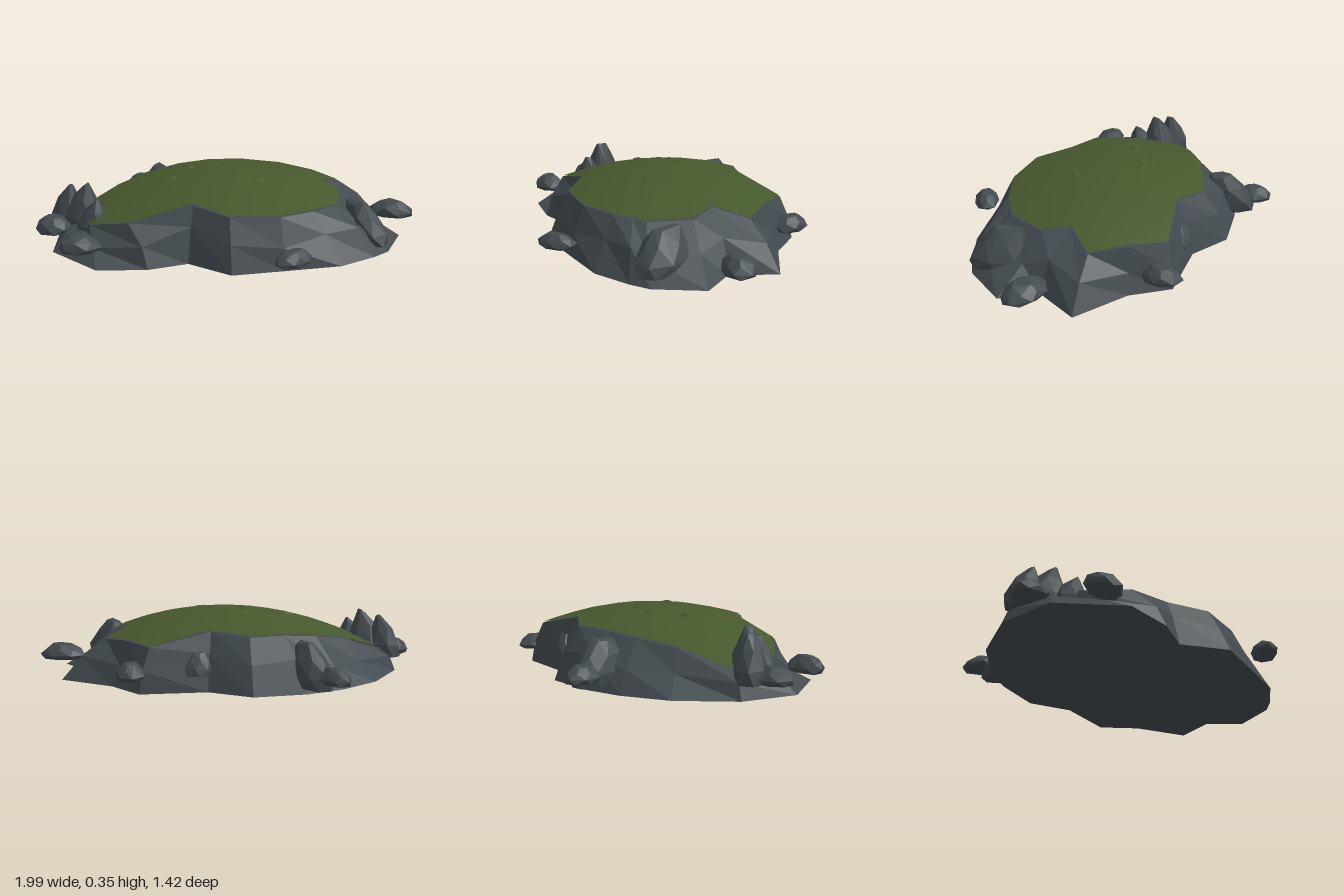
import * as THREE from 'three';
import { ConvexGeometry } from 'three/addons/geometries/ConvexGeometry.js';

const rockMat = new THREE.MeshStandardMaterial({ color: 0x434b50, flatShading: true });
const grassMat = new THREE.MeshStandardMaterial({ color: 0x46582d });

// Seeded random numbers
let seed = 7;
const rand = () => (seed = (seed * 16807) % 2147483647) / 2147483647;
const vary = (amount) => 1 + (rand() - 0.5) * 2 * amount;

// Columns around the island: base x, z and plateau rim x, z
const columns = [
  [-0.28, -0.58, -0.23, -0.44], [-0.04, -0.53, -0.03, -0.42],
  [0.28, -0.65, 0.24, -0.58], [0.47, -0.52, 0.40, -0.46],
  [0.78, -0.44, 0.56, -0.34], [0.75, -0.19, 0.49, -0.16],
  [0.92, -0.06, 0.59, -0.05], [0.86, 0.20, 0.58, 0.18],
  [0.79, 0.29, 0.54, 0.24], [0.63, 0.44, 0.47, 0.33],
  [0.36, 0.55, 0.32, 0.46], [0.11, 0.65, 0.08, 0.53],
  [-0.13, 0.54, -0.12, 0.44], [-0.31, 0.65, -0.43, 0.54],
  [-0.56, 0.70, -0.66, 0.46], [-0.86, 0.50, -0.75, 0.33],
  [-0.93, 0.20, -0.83, 0.19], [-0.84, -0.11, -0.66, -0.03],
  [-0.69, -0.32, -0.53, -0.20], [-0.53, -0.46, -0.38, -0.33],
];

// Height of the domed plateau
const domeY = (x, z) => 0.35 - 0.3 * (x * x + z * z);

// Skin closed rings of equal length, listed from bottom to top
function loft(rings) {
  const n = rings[0].length, index = [];
  for (let r = 0; r < rings.length - 1; r++) {
    for (let i = 0; i < n; i++) {
      const a = r * n + i, b = r * n + (i + 1) % n;
      index.push(a, a + n, b + n, a, b + n, b);
    }
  }
  const geo = new THREE.BufferGeometry();
  geo.setAttribute('position', new THREE.Float32BufferAttribute(rings.flat(2), 3));
  geo.setIndex(index);
  geo.computeVertexNormals();
  return geo;
}

function addMesh(group, name, geo, mat) {
  const mesh = new THREE.Mesh(geo, mat);
  mesh.name = name;
  group.add(mesh);
}

// Faceted stone: tapering rings, stretched along its yaw, top shifted by lean
function stone({ x, z, y0, y1, length, width, yaw = 0, lean = [0, 0], top = 0.45 }) {
  const points = [];
  const levels = [[0, 0.88], [0.3, 1], [0.68, (1 + top) / 2 + 0.06], [1, top]];
  for (const [t, radius] of levels) {
    for (let i = 0; i < 7; i++) {
      const a = (i + (t === 0.3 ? 0.4 : 0)) / 7 * Math.PI * 2;
      const u = Math.cos(a) * radius * length / 2 * vary(0.1);
      const v = Math.sin(a) * radius * width / 2 * vary(0.1);
      const y = y0 + (y1 - y0) * (t === 0 ? 0 : t * vary(0.07));
      points.push(new THREE.Vector3(
        x + u * Math.cos(yaw) + v * Math.sin(yaw) + lean[0] * t, y,
        z - u * Math.sin(yaw) + v * Math.cos(yaw) + lean[1] * t));
    }
  }
  return new ConvexGeometry(points);
}

export function createModel() {
  const model = new THREE.Group();
  model.name = 'rockyIsland';

  // Cliff: flat underside, uneven middle ledge, rim just under the grass
  const base = columns.map(([x, z]) => [x, 0, z]);
  const ledge = columns.map(([bx, bz, tx, tz], i) => {
    const t = 0.42 + 0.14 * Math.sin(i * 2.3);
    const h = (0.52 + 0.1 * Math.sin(i * 1.7)) * domeY(tx, tz);
    return [bx + (tx - bx) * t, h, bz + (tz - bz) * t];
  });
  const rim = columns.map(([, , x, z]) => [x * 1.01, domeY(x, z) - 0.008, z * 1.01]);
  const under = columns.map(() => [0, 0, 0]);
  const core = columns.map(() => [0, 0.28, 0]);
  addMesh(model, 'cliff', loft([under, base, ledge, rim, core]), rockMat);

  // Grass dome with a thin edge
  const grassRings = [1, 0.85, 0.65, 0.45, 0.22, 0].map((s) =>
    columns.map(([, , x, z]) => [x * s, domeY(x * s, z * s), z * s]));
  addMesh(model, 'grass', loft(grassRings), grassMat);

  // Low bumps in the grass
  for (const [x, z] of [[-0.24, -0.07], [-0.3, 0.1], [0.17, 0.12], [-0.12, -0.1]]) {
    const y = domeY(x, z);
    addMesh(model, 'grassBump', stone({
      x, z, y0: y - 0.03, y1: y + 0.004, length: 0.16, width: 0.09, yaw: 0.4, top: 0.3,
    }), grassMat);
  }

  // Loose stones around the shore: x, z, length, width, yaw, top height
  const shore = [
    [0.87, -0.21, 0.26, 0.19, -0.15, 0.145],
    [0.335, -0.615, 0.22, 0.15, -1.2, 0.145],
    [-0.66, -0.49, 0.21, 0.15, -0.8, 0.145],
    [-0.90, 0.37, 0.20, 0.18, -0.3, 0.15],
    [-0.665, 0.625, 0.23, 0.16, 0.3, 0.15],
    [0.405, 0.61, 0.22, 0.14, 0.9, 0.135],
  ];
  for (const [x, z, length, width, yaw, y1] of shore) {
    addMesh(model, 'shoreStone', stone({ x, z, y0: 0.07, y1, length, width, yaw }), rockMat);
  }

  // Boulders leaning against the cliff
  addMesh(model, 'leftBoulder', stone({
    x: 0.76, z: 0.13, y0: 0.04, y1: 0.23, length: 0.33, width: 0.2, yaw: -1.05, lean: [-0.08, -0.03],
  }), rockMat);
  addMesh(model, 'backRightBoulder', stone({
    x: -0.56, z: -0.42, y0: 0.03, y1: 0.24, length: 0.28, width: 0.19, yaw: -0.96, lean: [0.06, 0.06],
  }), rockMat);
  addMesh(model, 'backBoulder', stone({
    x: 0.02, z: -0.52, y0: 0.08, y1: 0.19, length: 0.15, width: 0.08, yaw: 0.3, lean: [0, 0.03],
  }), rockMat);

  // Cluster of pointed rocks on the right edge: x, z, top height, width
  for (const [x, z, y1, width] of [
    [-0.87, 0.26, 0.29, 0.17], [-0.77, 0.29, 0.31, 0.19], [-0.69, 0.37, 0.25, 0.16],
  ]) {
    addMesh(model, 'pointedRock', stone({
      x, z, y0: 0.07, y1, length: width * 1.1, width, yaw: -0.5, top: 0.2, lean: [0.04, 0.01],
    }), rockMat);
  }

  return model;
}
